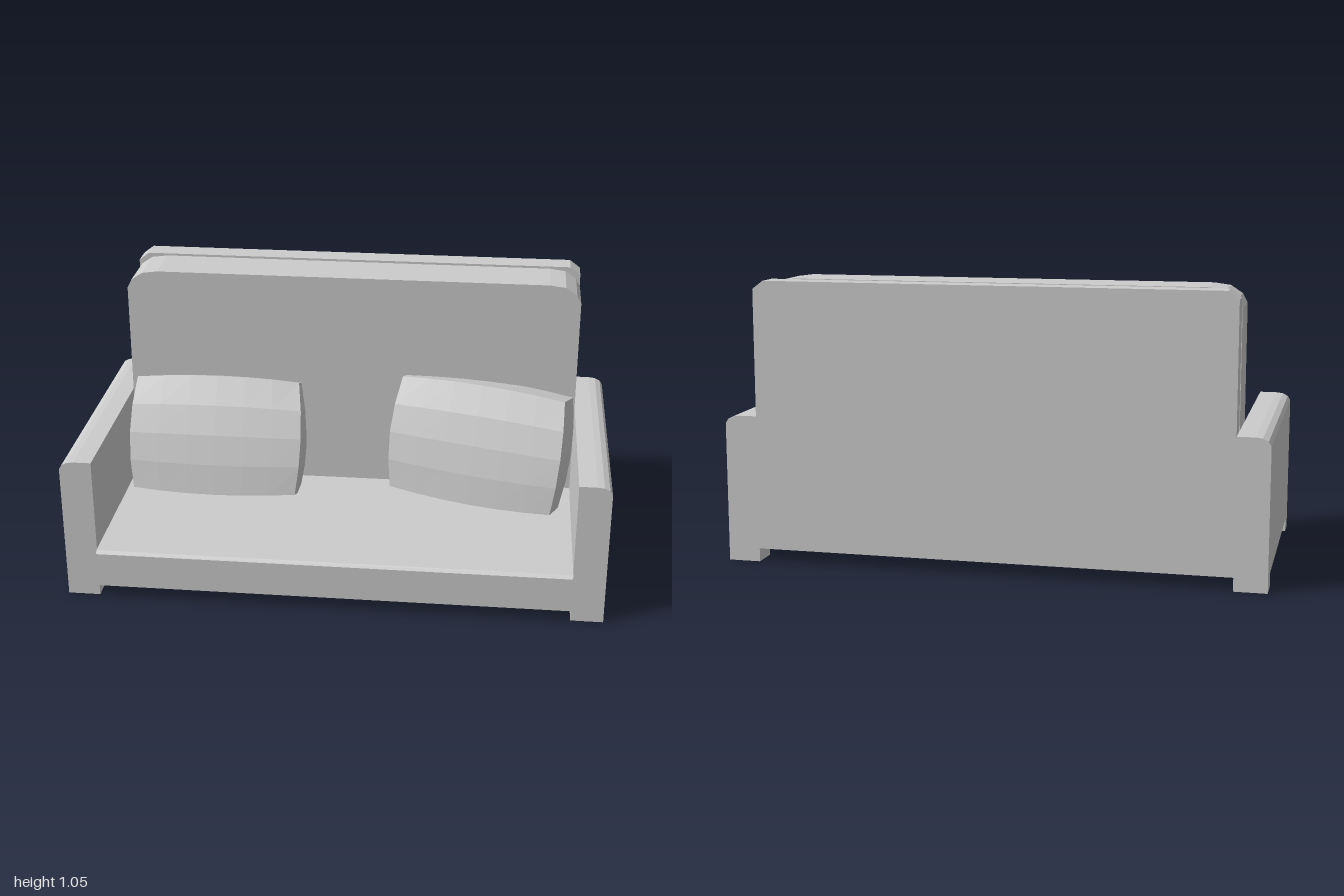
import * as THREE from 'three';

export function createModel() {
  const model = new THREE.Group();
  const fabric = new THREE.MeshStandardMaterial({ color: 0xcccccc });
  fabric.name = 'light grey fabric';
  fabric.flatShading = true;

  const add = (name, geometry, parent = model) => {
    const mesh = new THREE.Mesh(geometry, fabric);
    mesh.name = name;
    parent.add(mesh);
    return mesh;
  };

  // Extrude an outline in the xy plane from z0 to z1
  const slab = (points, z0, z1) => {
    const shape = new THREE.Shape(points.map(([x, y]) => new THREE.Vector2(x, y)));
    return new THREE.ExtrudeGeometry(shape, { depth: z1 - z0, bevelEnabled: false }).translate(0, 0, z0);
  };
  const mirrored = (half) => [...half, ...half.map(([x, y]) => [-x, y]).reverse()];

  // Arms with a rounded outer top edge, standing on corner legs
  for (const side of [1, -1]) {
    const arm = new THREE.Group();
    arm.name = side > 0 ? 'leftArm' : 'rightArm';
    model.add(arm);
    const outline = [[0.88, 0.05], [1, 0.05], [1, 0.52], [0.99, 0.537], [0.97, 0.547], [0.945, 0.55], [0.88, 0.55]];
    const pts = outline.map(([x, y]) => [side * x, y]);
    add('armPanel', slab(pts, -0.51, 0.49), arm);
    for (const [name, z, depth] of [['frontLeg', 0.445, 0.09], ['backLeg', -0.46, 0.1]]) {
      add(name, new THREE.BoxGeometry(0.12, 0.05, depth).translate(side * 0.94, 0.025, z), arm);
    }
  }

  // Seat: side profile with a softened front edge, swept across the width
  const seat = slab([[-0.42, 0.05], [0.508, 0.05], [0.508, 0.183], [0.498, 0.195], [-0.42, 0.195]], -0.88, 0.88);
  add('seat', seat.rotateY(-Math.PI / 2));

  // Rear panel and thicker back cushion, separated by a narrow gap
  add('backPanel', slab(mirrored([[0.88, 0.05], [0.88, 1.02], [0.84, 1.05]]), -0.51, -0.42));
  add('backCushion', slab(mirrored([[0.88, 0.195], [0.88, 0.98], [0.863, 1.013], [0.82, 1.042], [0.76, 1.05]]), -0.395, -0.2));

  // Throw pillow: a box whose faces swell towards their middles
  const pillow = (name, position, lean, yaw, roll) => {
    const g = new THREE.BoxGeometry(2, 2, 2, 6, 4, 2);
    const p = g.attributes.position;
    for (let i = 0; i < p.count; i++) {
      const u = p.getX(i), v = p.getY(i), w = p.getZ(i);
      const bu = 1 - u * u, bv = 1 - v * v;
      p.setXYZ(i,
        u * (0.322 + 0.018 * bv),
        v * (0.22 + 0.015 * bu),
        w * (0.08 + 0.027 * bv + 0.01 * bu));
    }
    g.computeVertexNormals();
    const mesh = add(name, g);
    mesh.position.set(...position);
    mesh.rotation.set(-lean, yaw, roll, 'YXZ');
  };
  pillow('rightPillow', [-0.52, 0.4, -0.12], 0.39, 0, 0);
  pillow('leftPillow', [0.52, 0.432, -0.09], 0.28, -0.24, -0.02);

  return model;
}
